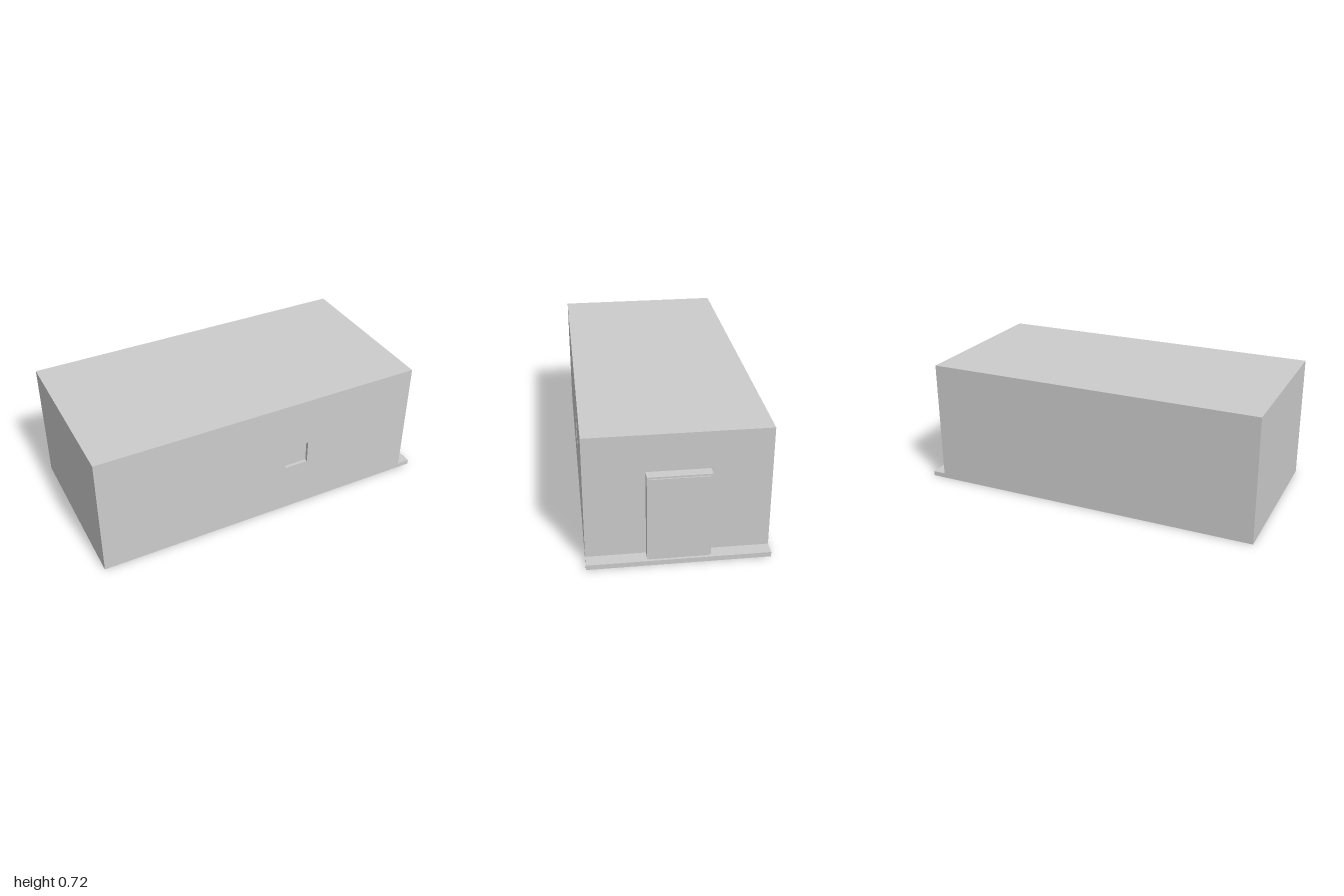
import * as THREE from 'three';

const material = new THREE.MeshStandardMaterial({ color: 0xcccccc, flatShading: true });

// Box given by its minimum and maximum corners
function block(name, [x0, y0, z0], [x1, y1, z1]) {
  const geometry = new THREE.BoxGeometry(x1 - x0, y1 - y0, z1 - z0);
  geometry.translate((x0 + x1) / 2, (y0 + y1) / 2, (z0 + z1) / 2);
  const mesh = new THREE.Mesh(geometry, material);
  mesh.name = name;
  return mesh;
}

function rectangle(PathType, x0, y0, x1, y1) {
  return new PathType([
    new THREE.Vector2(x0, y0), new THREE.Vector2(x1, y0),
    new THREE.Vector2(x1, y1), new THREE.Vector2(x0, y1),
  ]);
}

export function createModel() {
  const group = new THREE.Group();
  group.name = 'cabin';

  const halfDepth = 0.48, wallEnd = 0.925, roof = 0.717, floor = 0.027;
  const recess = 0.018;

  // Floor slab, reaching past the door wall as a step
  group.add(block('floorSlab', [-1, 0, -halfDepth], [1, floor, halfDepth]));

  // Main body up to the back of the front wall
  group.add(block('body', [-1, floor, -halfDepth], [wallEnd, roof, halfDepth - recess]));

  // Front wall with the window opening, closed by the body behind it
  const outline = rectangle(THREE.Shape, -1, floor, wallEnd, roof);
  outline.holes.push(rectangle(THREE.Path, 0.11, 0.295, 0.25, 0.43));
  const frontWall = new THREE.Mesh(
    new THREE.ExtrudeGeometry(outline, { depth: recess, bevelEnabled: false }), material);
  frontWall.name = 'frontWall';
  frontWall.position.z = halfDepth - recess;
  group.add(frontWall);

  // Door surround with a slightly raised door leaf
  group.add(block('doorSurround', [wallEnd, floor, -0.165], [0.98, 0.51, 0.165]));
  group.add(block('doorLeaf', [0.98, floor, -0.155], [0.986, 0.5, 0.155]));

  return group;
}
